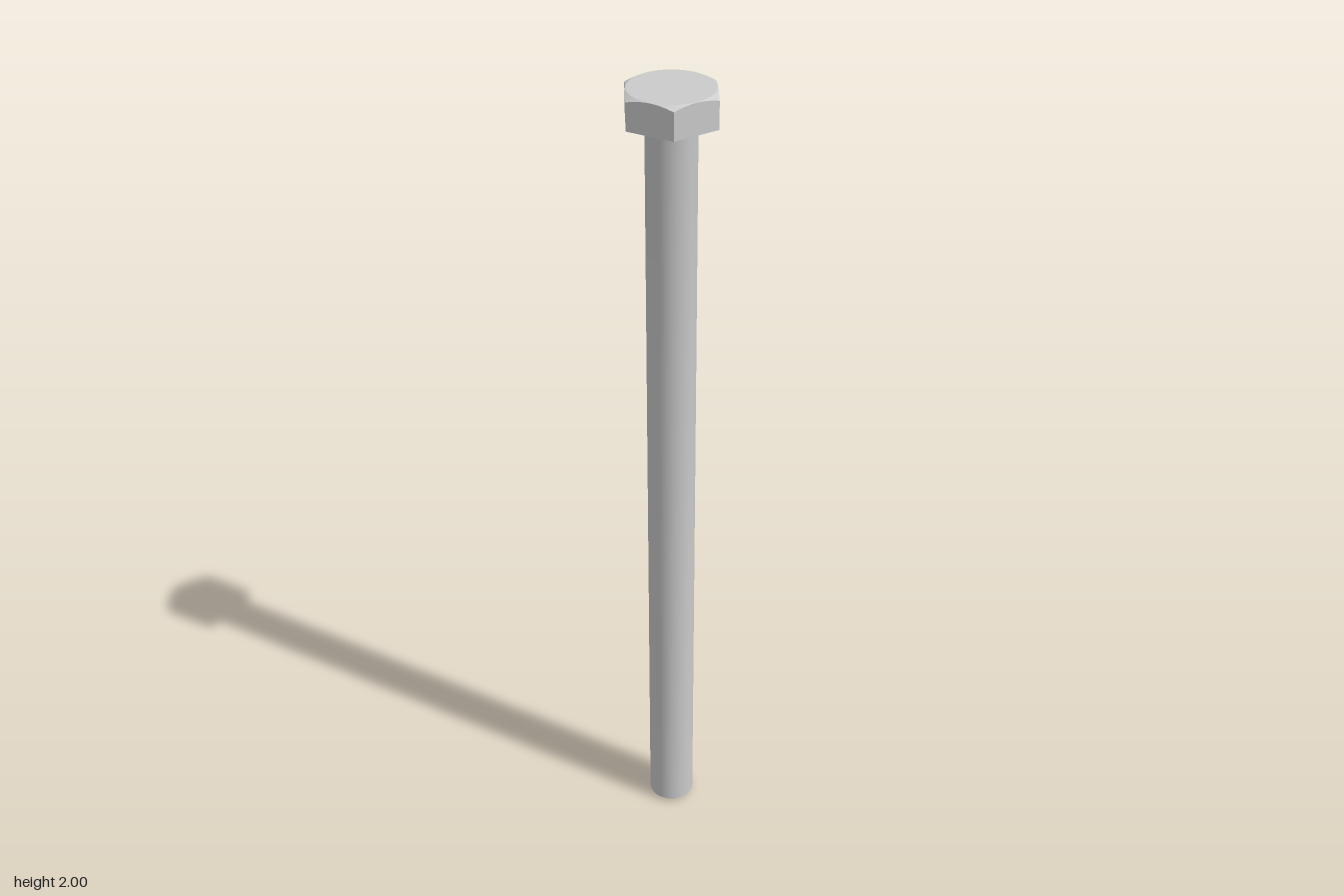
import * as THREE from 'three';
import { toCreasedNormals } from 'three/addons/utils/BufferGeometryUtils.js';

// Dimensions in shaft-diameter tenths; scaled so the total length is 2.
const LENGTH = 170, HEAD = 6.4, R = 5;
const APOTHEM = 8.5, DISC = 8.4;
const SCALE = 2 / (LENGTH + HEAD);

const material = new THREE.MeshStandardMaterial({ color: 0xcccccc });

function lathe(points) {
  return new THREE.LatheGeometry(points.map(([x, y]) => new THREE.Vector2(x, y)), 96);
}

function addPart(group, name, geometry) {
  const creased = toCreasedNormals(geometry, THREE.MathUtils.degToRad(20));
  creased.scale(SCALE, SCALE, SCALE);
  const mesh = new THREE.Mesh(creased, material);
  mesh.name = name;
  group.add(mesh);
}

// Hexagonal prism with a 30 degree conical chamfer on the top corners.
function hexHead() {
  const top = LENGTH + HEAD, rim = 20;
  const geometry = lathe([[0, LENGTH], [rim, LENGTH], [rim, top], [DISC, top], [0, top]]);
  const pos = geometry.attributes.position;
  const sector = Math.PI / 3;
  for (let i = 0; i < pos.count; i++) {
    const x = pos.getX(i), y = pos.getY(i), z = pos.getZ(i);
    if (Math.hypot(x, z) < rim - 1) continue;
    // Pull the rim in to the hexagon: corners on the x axis, flats on z.
    const a = Math.atan2(x, z);
    const r = APOTHEM / Math.cos(a - Math.round(a / sector) * sector);
    const drop = y > LENGTH + 1 ? (r - DISC) * Math.tan(Math.PI / 6) : 0;
    pos.setXYZ(i, r * Math.sin(a), y - drop, r * Math.cos(a));
  }
  return geometry;
}

export function createModel() {
  const group = new THREE.Group();
  group.name = 'hexBolt';

  // Plain shaft with a chamfered tip and a small fillet under the head.
  const profile = [[0, 0], [R - 0.9, 0], [R, 0.95]];
  const fillet = 0.4;
  for (let i = 0; i <= 5; i++) {
    const t = (i / 5) * Math.PI / 2;
    profile.push([R + fillet * (1 - Math.cos(t)), LENGTH - fillet + fillet * Math.sin(t)]);
  }
  addPart(group, 'shaft', lathe(profile));

  addPart(group, 'hexHead', hexHead());
  return group;
}
